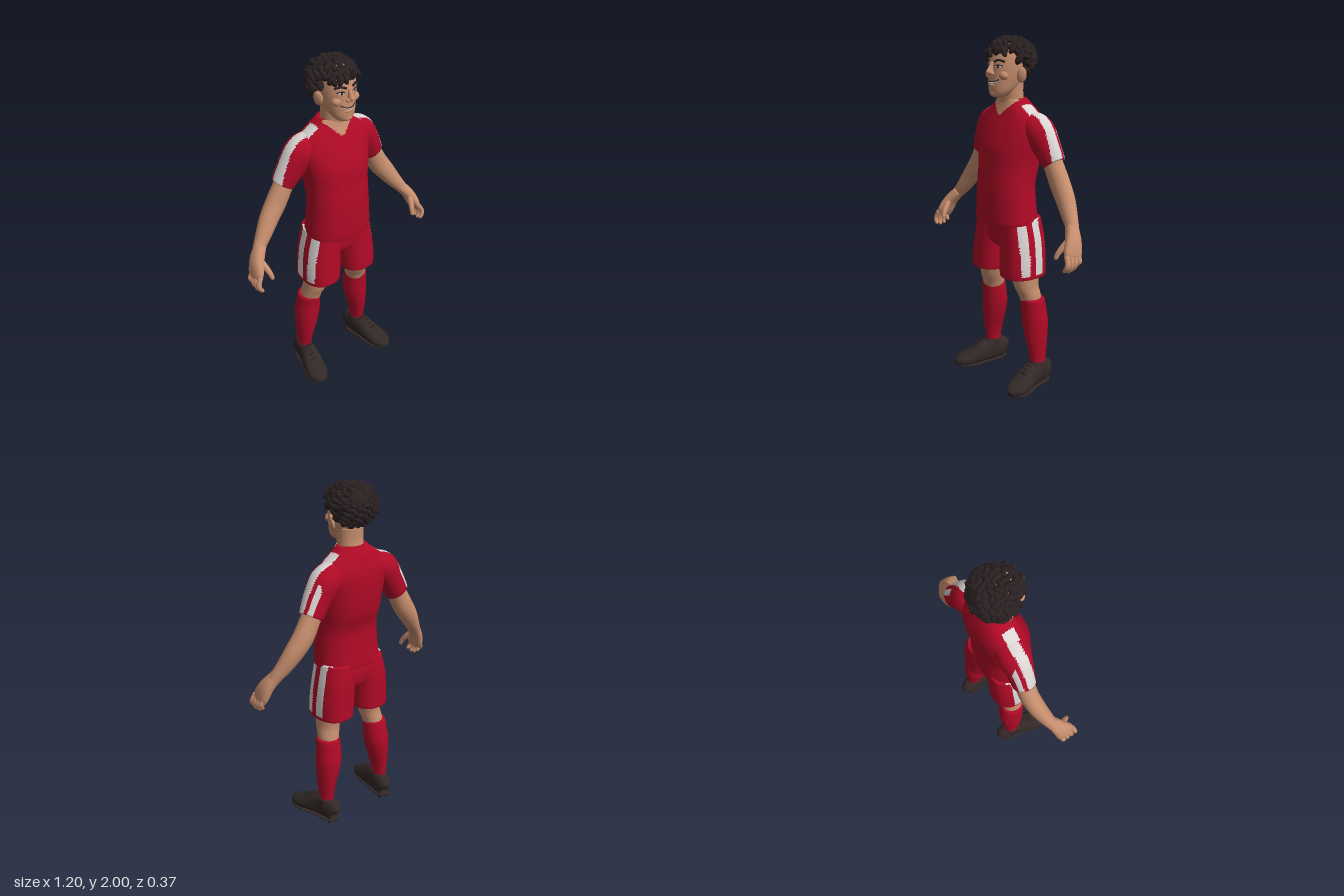
import * as THREE from 'three';
import { mergeGeometries } from 'three/addons/utils/BufferGeometryUtils.js';

const mat = (name, color) => Object.assign(new THREE.MeshStandardMaterial({ color }), { name });
const V = (...p) => new THREE.Vector3(...p);

// Rows are [x, y, z, halfA, halfB]; smooth them with a Catmull-Rom rule
function refine(rows, sub) {
  const out = [];
  for (let i = 0; i < rows.length - 1; i++) {
    const p = [rows[Math.max(i - 1, 0)], rows[i], rows[i + 1], rows[Math.min(i + 2, rows.length - 1)]];
    for (let s = 0; s < sub; s++) {
      const t = s / sub;
      out.push(p[1].map((b, k) => {
        const [a, c, d] = [p[0][k], p[2][k], p[3][k]];
        return b + 0.5 * t * (c - a + t * (2 * a - 5 * b + 4 * c - d + t * (3 * (b - c) + d - a)));
      }));
    }
  }
  out.push(rows[rows.length - 1]);
  return out;
}

// Closed skin over cross-sections. flat keeps rings level; otherwise they follow the path.
// pick(x, y, z) gives the material index of a face.
function loft(rows, { flat = false, ref = V(0, 0, 1), seg = 28, sub = 5, n = 2, pick } = {}) {
  const rings = refine(rows, sub), m = rings.length, pos = [], buckets = [[], [], []];
  const c = rings.map(r => V(r[0], r[1], r[2]));
  rings.forEach((r, j) => {
    const T = flat ? V(0, 1, 0) : c[Math.min(j + 1, m - 1)].clone().sub(c[Math.max(j - 1, 0)]).normalize();
    const B = ref.clone().addScaledVector(T, -ref.dot(T)).normalize(), A = T.clone().cross(B);
    for (let i = 0; i < seg; i++) {
      const a = i / seg * Math.PI * 2, f = v => Math.sign(v) * Math.abs(v) ** (2 / n);
      pos.push(...c[j].clone().addScaledVector(A, r[3] * f(Math.cos(a))).addScaledVector(B, r[4] * f(Math.sin(a))));
    }
  });
  pos.push(...c[0], ...c[m - 1]);
  const face = (...t) => {
    const q = k => (pos[t[0] * 3 + k] + pos[t[1] * 3 + k] + pos[t[2] * 3 + k]) / 3;
    buckets[pick ? pick(q(0), q(1), q(2)) : 0].push(...t);
  };
  for (let i = 0; i < seg; i++) {
    const k = (i + 1) % seg;
    for (let j = 0; j < m - 1; j++) {
      const a = j * seg + i, b = j * seg + k;
      face(a, a + seg, b);
      face(b, a + seg, b + seg);
    }
    face(m * seg, i, k);
    face(m * seg + 1, (m - 1) * seg + k, (m - 1) * seg + i);
  }
  const g = new THREE.BufferGeometry();
  g.setAttribute('position', new THREE.Float32BufferAttribute(pos, 3));
  g.setIndex(buckets.flat());
  let start = 0;
  if (pick) buckets.forEach((b, i) => { g.addGroup(start, b.length, i); start += b.length; });
  g.computeVertexNormals();
  return g;
}

export function createModel() {
  const root = new THREE.Group();
  root.name = 'footballer';
  const red = mat('red cloth', 0xb00a26), white = mat('white stripe', 0xdad5d3), skin = mat('skin', 0xc78e6e);
  const hair = mat('dark hair', 0x2a2021), leather = mat('boot leather', 0x322827);
  const cloth = [red, white, skin];
  const add = (name, geo, m) => {
    const o = new THREE.Mesh(geo, m);
    o.name = name;
    root.add(o);
    return o;
  };
  const ball = (name, m, p, s, ry = 0, rz = 0) => {
    const o = add(name, new THREE.SphereGeometry(1, 20, 14), m);
    o.position.set(...p); o.scale.set(...s); o.rotation.set(0, ry, rz);
    return o;
  };
  const tube = (name, m, pts, r) =>
    add(name, new THREE.TubeGeometry(new THREE.CatmullRomCurve3(pts.map(p => V(...p))), 16, r, 8), m);

  // Shirt body, with V neck and shoulder stripes
  add('shirt', loft([
    [0, 1.02, -0.005, 0.17, 0.12], [0, 0.985, -0.005, 0.196, 0.143], [0, 1.1, 0, 0.188, 0.14], [0, 1.2, 0, 0.182, 0.136],
    [0, 1.3, -0.018, 0.186, 0.143], [0, 1.4, -0.028, 0.2, 0.143], [0, 1.48, -0.041, 0.214, 0.131],
    [0, 1.54, -0.05, 0.212, 0.115], [0, 1.59, -0.053, 0.18, 0.097], [0, 1.63, -0.052, 0.125, 0.083], [0, 1.665, -0.045, 0.085, 0.069],
  ], { flat: true, seg: 72, sub: 8, n: 2.25, pick: (x, y, z) => {
    const ax = Math.abs(x);
    if (z > -0.02 && y > 1.57 + ax * 0.95) return 2;
    return y > 1.56 && ax > 0.115 && z > -0.085 && z < -0.015 ? 1 : 0;
  } }), cloth);

  // Shorts seat
  add('shortsSeat', loft([[0, 0.83, -0.025, 0.06, 0.07], [0, 0.87, -0.025, 0.15, 0.112], [0, 0.95, -0.025, 0.19, 0.122],
    [0, 1.03, -0.01, 0.18, 0.12]], { flat: true, n: 2.4 }), red);

  for (const s of [1, -1]) {
    const side = s > 0 ? 'left' : 'right';
    const M = rows => rows.map(([x, ...r]) => [x * s, ...r]);
    const part = (name, rows, m, o) => add(side + name, loft(M(rows), o), m);

    // Sleeve with stripes over its upper side
    part('Sleeve', [[0.12, 1.535, -0.06, 0.072, 0.08], [0.19, 1.5, -0.067, 0.09, 0.088], [0.25, 1.425, -0.073, 0.08, 0.074],
      [0.303, 1.338, -0.082, 0.067, 0.062]], cloth, { seg: 56, sub: 9, pick: (x, y, z) => {
      const ax = Math.abs(x), top = y > 1.565 - 1.08 * (ax - 0.12);
      return top && ((z > -0.092 && z < -0.032) || (ax > 0.27 && z > -0.135 && z < -0.112)) ? 1 : 0;
    } });

    // Arm, palm, fingers and thumb
    part('Arm', [[0.27, 1.39, -0.08, 0.053, 0.05], [0.305, 1.325, -0.08, 0.056, 0.052], [0.355, 1.235, -0.08, 0.06, 0.052],
      [0.41, 1.16, -0.07, 0.055, 0.049], [0.46, 1.09, -0.052, 0.045, 0.042], [0.503, 1.035, -0.034, 0.035, 0.034],
      [0.52, 1.01, -0.022, 0.032, 0.036]], skin);
    part('Palm', [[0.495, 1.045, -0.035, 0.032, 0.033], [0.54, 0.985, -0.005, 0.032, 0.046], [0.562, 0.93, 0.018, 0.027, 0.056],
      [0.573, 0.895, 0.028, 0.018, 0.05]], skin, { n: 2.3 });
    for (let i = 0; i < 4; i++) {
      const z = -0.012 + i * 0.027, d = [0.02, 0.004, 0, 0.008][i];
      part('Finger' + (i + 1), [[0.57, 0.92, z, 0.013, 0.014], [0.586, 0.885, z + 0.006, 0.015, 0.015],
        [0.585, 0.855 + d, z + 0.012, 0.013, 0.013], [0.57, 0.835 + d, z + 0.015, 0.01, 0.01],
        [0.566, 0.83 + d, z + 0.015, 0.003, 0.003]], skin, { seg: 12, sub: 4 });
    }
    part('Thumb', [[0.535, 0.99, 0.015, 0.02, 0.018], [0.518, 0.95, 0.05, 0.017, 0.017], [0.508, 0.92, 0.072, 0.014, 0.014],
      [0.503, 0.895, 0.082, 0.011, 0.011], [0.502, 0.888, 0.083, 0.003, 0.003]], skin, { seg: 14 });

    // Shorts leg with two side stripes
    part('ShortsLeg', [[0.13, 0.74, -0.02, 0.085, 0.1], [0.126, 0.69, -0.02, 0.1, 0.122], [0.126, 0.685, -0.02, 0.109, 0.131],
      [0.124, 0.74, -0.02, 0.112, 0.131], [0.119, 0.82, -0.023, 0.111, 0.129], [0.11, 0.91, -0.025, 0.106, 0.126],
      [0.1, 1.01, -0.02, 0.092, 0.118]], cloth, { flat: true, seg: 72, n: 2.4, pick: (x, y, z) =>
      Math.abs(x) > 0.13 && y > 0.7 && ((z > 0.015 && z < 0.068) || (z > -0.075 && z < -0.022)) ? 1 : 0 });

    // Knee, sock and its folded top
    part('Leg', [[0.176, 0.48, -0.055, 0.055, 0.06], [0.165, 0.56, -0.04, 0.061, 0.065], [0.153, 0.62, -0.023, 0.065, 0.073],
      [0.142, 0.7, -0.02, 0.075, 0.084], [0.13, 0.82, -0.02, 0.08, 0.09]], skin, { flat: true });
    part('Sock', [[0.206, 0.09, -0.07, 0.042, 0.052], [0.207, 0.15, -0.07, 0.038, 0.048], [0.205, 0.2, -0.068, 0.041, 0.053],
      [0.201, 0.26, -0.066, 0.05, 0.062], [0.192, 0.33, -0.065, 0.063, 0.071], [0.183, 0.41, -0.064, 0.073, 0.076],
      [0.178, 0.48, -0.058, 0.071, 0.073], [0.176, 0.54, -0.05, 0.067, 0.07], [0.175, 0.55, -0.049, 0.058, 0.06]], red, { flat: true });

    // Boot with ankle collar, sole, laces and studs
    const up = { ref: V(0, 1, 0), n: 2.4 };
    part('Boot', [[0.197, 0.08, -0.152, 0.015, 0.025], [0.198, 0.088, -0.138, 0.042, 0.06], [0.205, 0.097, -0.07, 0.05, 0.073],
      [0.215, 0.093, -0.01, 0.054, 0.069], [0.229, 0.076, 0.05, 0.061, 0.052], [0.244, 0.061, 0.11, 0.063, 0.037],
      [0.255, 0.053, 0.158, 0.048, 0.027], [0.262, 0.05, 0.185, 0.015, 0.01]], leather, up);
    part('BootCollar', [[0.207, 0.1, -0.07, 0.05, 0.065], [0.207, 0.14, -0.07, 0.048, 0.06], [0.207, 0.158, -0.068, 0.044, 0.056],
      [0.207, 0.163, -0.068, 0.036, 0.046]], leather, { flat: true });
    part('Sole', [[0.197, 0.032, -0.148, 0.025, 0.008], [0.203, 0.03, -0.1, 0.049, 0.01], [0.215, 0.03, -0.01, 0.05, 0.01],
      [0.237, 0.03, 0.08, 0.064, 0.01], [0.253, 0.034, 0.15, 0.052, 0.01], [0.26, 0.04, 0.178, 0.02, 0.008]], leather, up);
    for (let i = 0; i < 4; i++) {
      const z = -0.02 + i * 0.025, y = 0.166 - i * 0.0135, x = 0.213 + i * 0.006;
      tube(side + 'Lace', hair, [[s * (x - 0.036), y - 0.016, z], [s * x, y + 0.002, z + 0.008], [s * (x + 0.036), y - 0.016, z]], 0.006);
    }
    for (const [x, z] of [[0.18, -0.115], [0.222, -0.115], [0.185, -0.06], [0.23, -0.06], [0.2, 0.05], [0.262, 0.05],
      [0.212, 0.1], [0.278, 0.1], [0.245, 0.14]]) {
      add(side + 'Stud', new THREE.CylinderGeometry(0.012, 0.008, 0.03, 10), leather).position.set(s * x, 0.015, z);
    }

    // Ear, eye, brow and cheek
    ball(side + 'Ear', skin, [s * 0.109, 1.795, -0.018], [0.014, 0.042, 0.027], s * -0.5, s * -0.2);
    ball(side + 'EyeWhite', white, [s * 0.042, 1.839, 0.0845], [0.018, 0.008, 0.005], s * 0.4);
    ball(side + 'Pupil', hair, [s * 0.041, 1.839, 0.088], [0.007, 0.008, 0.004], s * 0.4);
    tube(side + 'Eyelid', hair, [[s * 0.022, 1.842, 0.092], [s * 0.042, 1.849, 0.09], [s * 0.064, 1.842, 0.074]], 0.003);
    tube(side + 'Brow', hair, [[s * 0.018, 1.864, 0.095], [s * 0.045, 1.874, 0.087], [s * 0.072, 1.864, 0.064]], 0.006);
    ball(side + 'Cheek', skin, [s * 0.055, 1.792, 0.064], [0.03, 0.025, 0.024]);
    ball(side + 'Nostril', skin, [s * 0.015, 1.803, 0.107], [0.012, 0.011, 0.013]);
  }

  // Neck and head
  add('neck', loft([[0, 1.55, -0.05, 0.085, 0.07], [0, 1.62, -0.042, 0.076, 0.067], [0, 1.69, -0.032, 0.074, 0.066],
    [0, 1.76, -0.03, 0.076, 0.07]], { flat: true }), skin);
  add('head', loft([[0, 1.674, 0.05, 0.022, 0.025], [0, 1.683, 0.046, 0.045, 0.047], [0, 1.71, 0.03, 0.067, 0.07],
    [0, 1.75, 0.006, 0.083, 0.095], [0, 1.8, -0.01, 0.095, 0.109], [0, 1.86, -0.02, 0.099, 0.115], [0, 1.92, -0.03, 0.094, 0.108],
    [0, 1.96, -0.035, 0.07, 0.08], [0, 1.975, -0.035, 0.03, 0.04]], { flat: true, seg: 40, n: 2.1 }), skin);
  add('nose', loft([[0, 1.796, 0.1, 0.01, 0.012], [0, 1.804, 0.108, 0.016, 0.023], [0, 1.815, 0.11, 0.015, 0.024],
    [0, 1.835, 0.1, 0.011, 0.02], [0, 1.865, 0.088, 0.009, 0.012]], { flat: true, seg: 18 }), skin);
  ball('chin', skin, [0, 1.697, 0.079], [0.032, 0.02, 0.022]);
  ball('lowerLip', skin, [0, 1.739, 0.096], [0.026, 0.008, 0.01]);
  tube('teeth', white, [[-0.036, 1.761, 0.091], [0, 1.752, 0.1015], [0.036, 1.761, 0.091]], 0.006);
  tube('mouthLine', hair, [[-0.048, 1.773, 0.086], [-0.025, 1.762, 0.1], [0, 1.759, 0.106], [0.025, 1.762, 0.1], [0.048, 1.773, 0.086]], 0.0028);

  // Hair: inner mass covered with overlapping curls
  ball('hairMass', hair, [-0.003, 1.882, -0.07], [0.118, 0.098, 0.105]);
  let seed = 7;
  const rnd = () => (seed = (seed * 16807) % 2147483647) / 2147483647;
  const curls = [], o = new THREE.Object3D(), N = 210;
  for (let i = 0; i < N; i++) {
    const h = 1 - 2 * (i + 0.5) / N, a = i * 2.39996, r = Math.sqrt(1 - h * h);
    const p = V(-0.006 + 0.122 * r * Math.cos(a), 1.872 + 0.102 * h, -0.038 + 0.122 * r * Math.sin(a));
    const line = p.z > 0.015 ? 1.905 : p.z > -0.05 ? 1.868 : 1.768;
    if (p.y < line) continue;
    const k = 0.85 + 0.35 * rnd();
    o.position.copy(p);
    o.lookAt(-0.006, 1.872, -0.038);
    o.rotateZ(rnd() * 3.14);
    o.rotateY(rnd() * 0.7 - 0.35);
    o.scale.set(0.03 * k, 0.016 * k, 0.024 * k);
    o.updateMatrix();
    curls.push(new THREE.SphereGeometry(1, 10, 8).applyMatrix4(o.matrix));
  }
  add('hairCurls', mergeGeometries(curls), hair);
  // Loose fringe locks over the forehead
  for (const [x, y, t] of [[-0.075, 1.9, 0.5], [-0.045, 1.905, -0.4], [-0.02, 1.91, 0.3], [0.03, 1.925, -0.3], [0.07, 1.915, 0.5]])
    ball('fringeLock', hair, [x, y, 0.096 - x * x * 5], [0.014, 0.028, 0.016], 0, t);
  return root;
}
